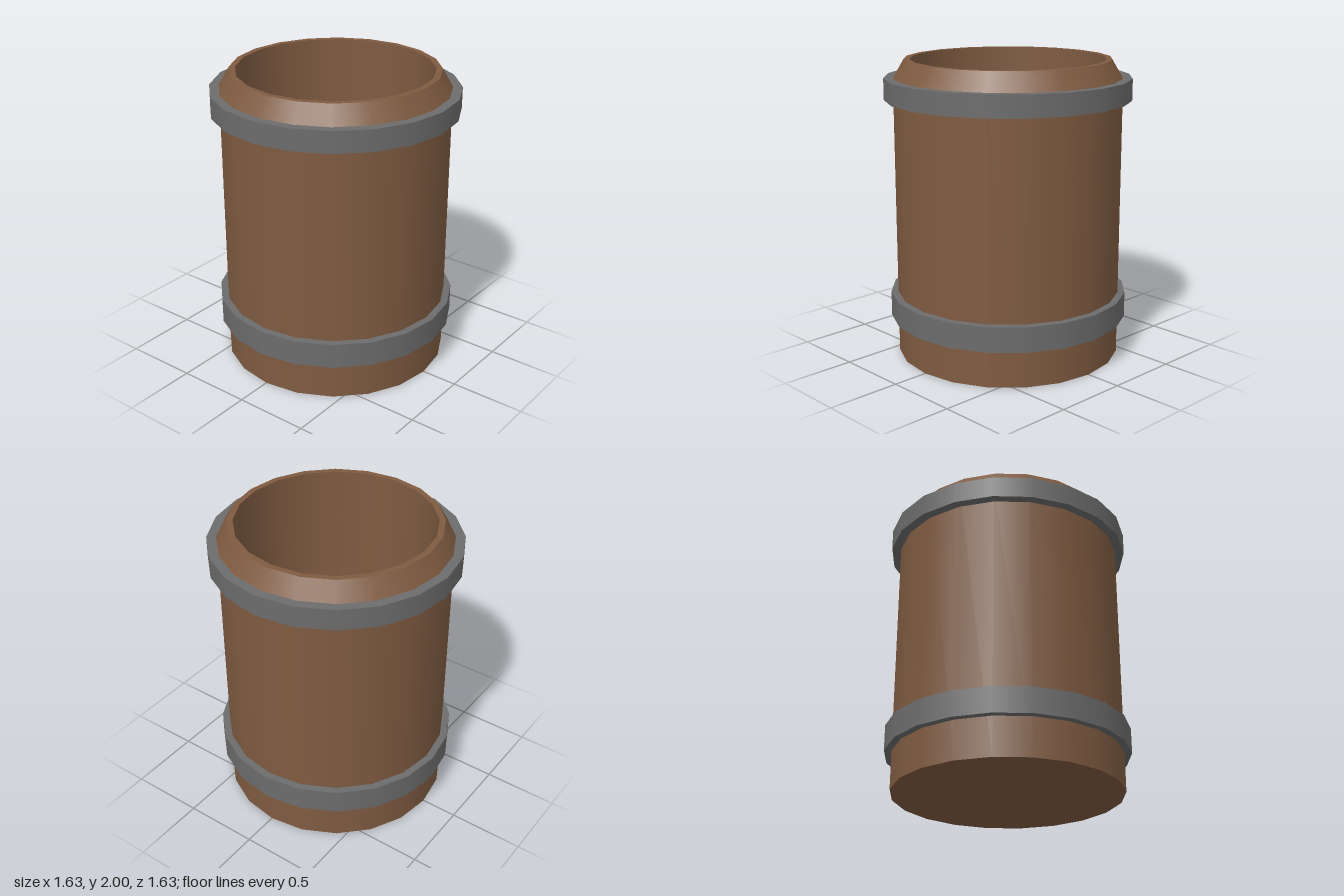
import * as THREE from 'three';
import { mergeGeometries } from 'three/addons/utils/BufferGeometryUtils.js';

const SIDES = 20;

// Revolve each profile segment separately: smooth around, sharp at the corners.
function turned(name, profile, material) {
  const strips = [];
  for (let i = 0; i < profile.length - 1; i++) {
    const pair = [profile[i], profile[i + 1]].map(([r, y]) => new THREE.Vector2(r, y));
    strips.push(new THREE.LatheGeometry(pair, SIDES));
  }
  const mesh = new THREE.Mesh(mergeGeometries(strips), material);
  mesh.name = name;
  return mesh;
}

export function createModel() {
  const wood = new THREE.MeshStandardMaterial({ color: 0x7f5b41 });
  wood.name = 'brown wood';
  const iron = new THREE.MeshStandardMaterial({ color: 0x6c6c6c });
  iron.name = 'grey iron';

  const group = new THREE.Group();
  group.name = 'barrel';

  // Outer shell: base, straight wall, tapered shoulder and rim
  group.add(turned('barrelShell', [
    [0, 0], [0.755, 0], [0.755, 1.88], [0.685, 2], [0.645, 2],
  ], wood));

  // Hollow inside: wall down to the floor
  group.add(turned('barrelInside', [[0.645, 2], [0.645, 0.1], [0, 0.1]], wood));

  // Hoops around the shell
  const hoops = [
    ['lowerHoop', 0.803, 0.255, 0.425],
    ['upperHoop', 0.817, 1.737, 1.88],
  ];
  for (const [name, radius, bottom, top] of hoops) {
    group.add(turned(name, [
      [0.75, bottom], [radius, bottom], [radius, top], [0.75, top],
    ], iron));
  }
  return group;
}
